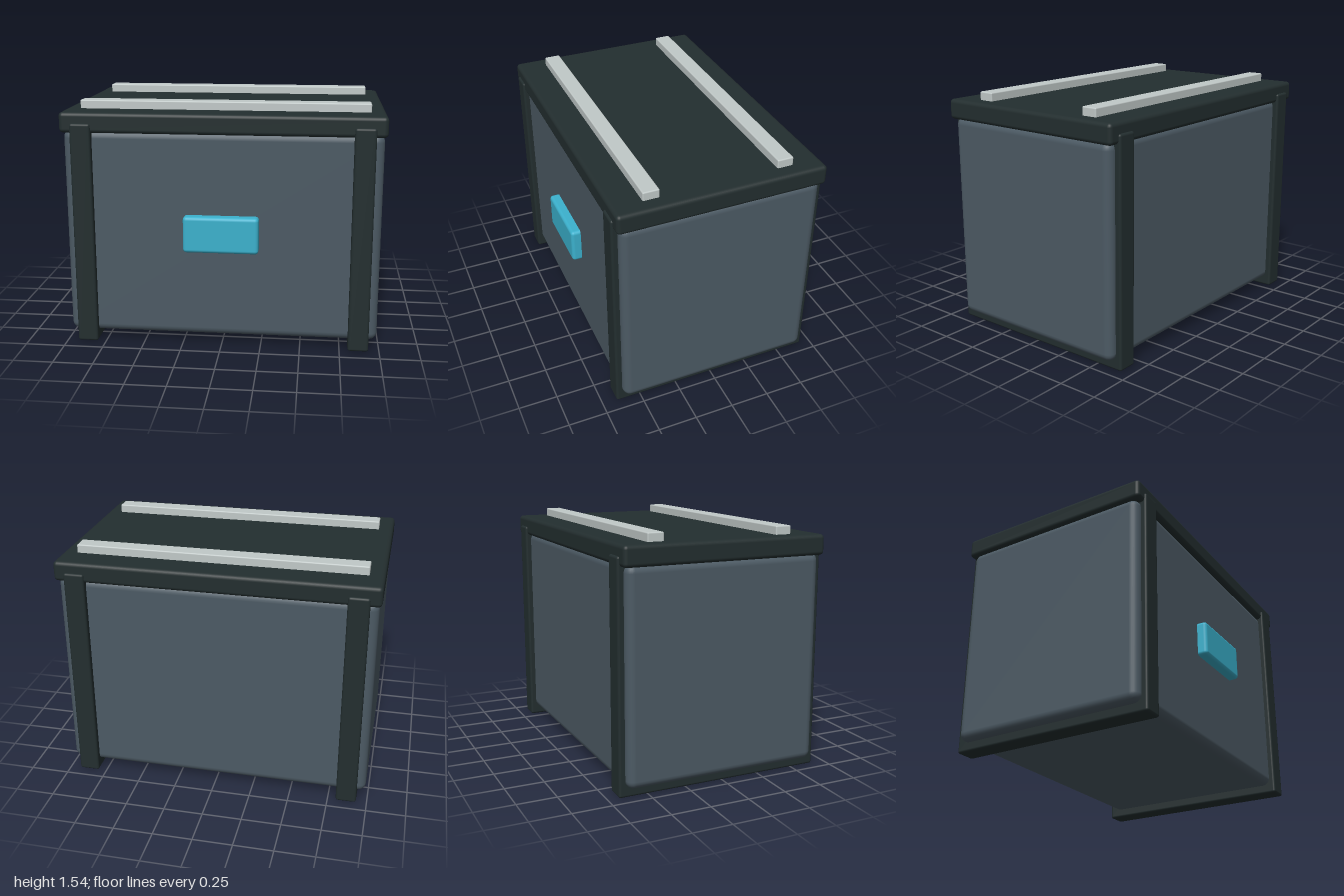
import * as THREE from 'three';
import { RoundedBoxGeometry } from 'three/addons/geometries/RoundedBoxGeometry.js';

export function createModel() {
  const model = new THREE.Group();
  model.name = 'storageCrate';

  const material = (name, color) => {
    const m = new THREE.MeshStandardMaterial({ color });
    m.name = name;
    return m;
  };
  const slate = material('slate', 0x4c5a64);
  const charcoal = material('charcoal', 0x232e2f);
  const paleGrey = material('paleGrey', 0xc1c9c8);
  const cyan = material('cyan', 0x3bb1cd);

  // Bevelled box given by its extents on each axis
  const block = (name, mat, [x0, x1], [y0, y1], [z0, z1], bevel) => {
    const geometry = new RoundedBoxGeometry(x1 - x0, y1 - y0, z1 - z0, 3, bevel);
    const mesh = new THREE.Mesh(geometry, mat);
    mesh.position.set((x0 + x1) / 2, (y0 + y1) / 2, (z0 + z1) / 2);
    mesh.name = name;
    model.add(mesh);
  };

  // Main body and overhanging lid
  block('body', slate, [-0.985, 0.985], [0.057, 1.375], [-0.645, 0.62], 0.05);
  block('lid', charcoal, [-1, 1], [1.36, 1.487], [-0.67, 0.645], 0.025);

  // Straps wrapping front, underside and back near each end
  for (const [side, x] of [['right', -0.867], ['left', 0.867]]) {
    block(side + 'Strap', charcoal, [x - 0.065, x + 0.065], [0, 1.42], [-0.683, 0.658], 0.015);
  }

  // Rails along the top
  block('frontRail', paleGrey, [-0.907, 0.907], [1.465, 1.54], [0.355, 0.458], 0.008);
  block('backRail', paleGrey, [-0.907, 0.907], [1.465, 1.54], [-0.487, -0.384], 0.008);

  // Latch on the front
  block('latch', cyan, [-0.235, 0.235], [0.625, 0.855], [0.6, 0.683], 0.022);

  return model;
}
